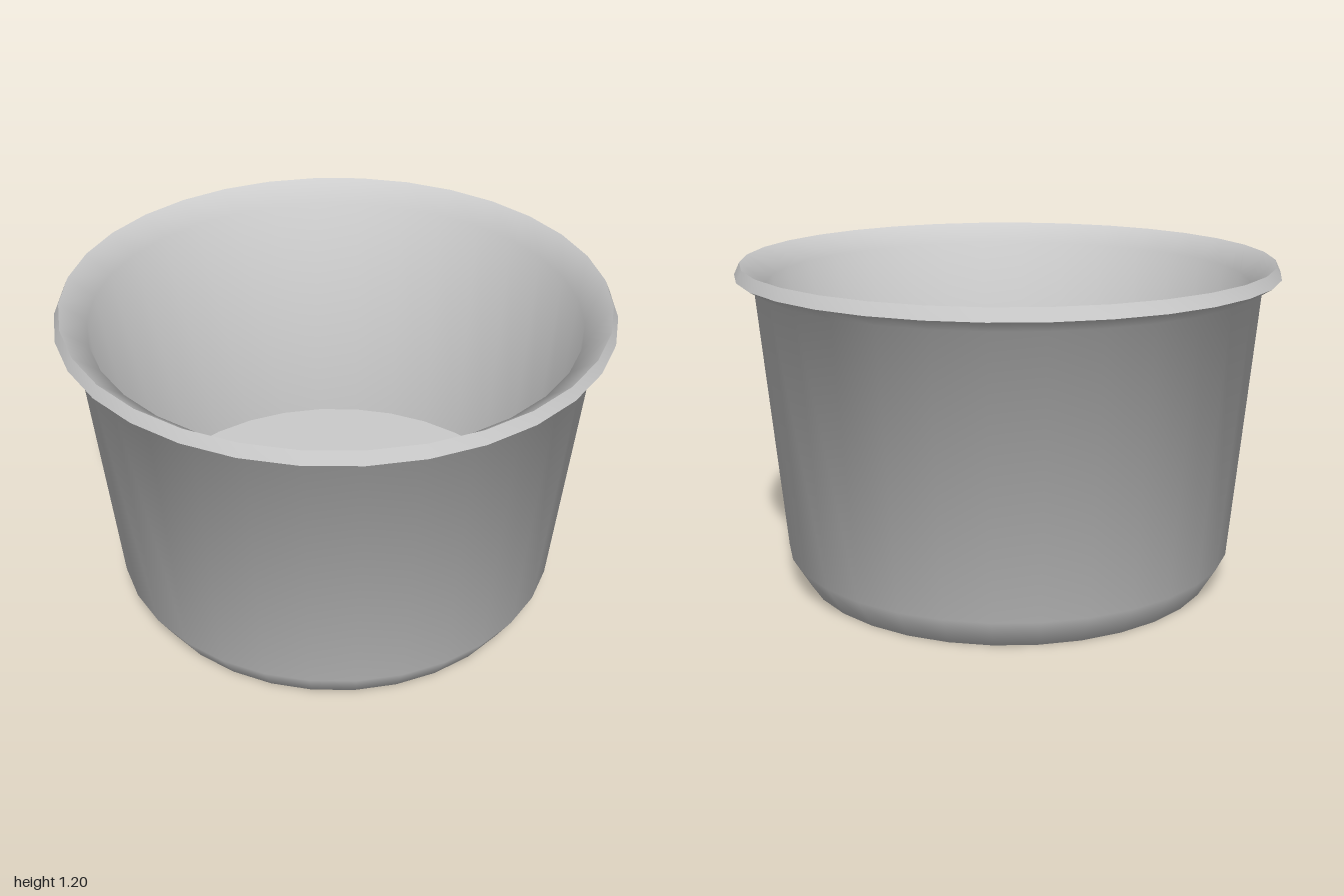
import * as THREE from 'three';
import { toCreasedNormals } from 'three/addons/utils/BufferGeometryUtils.js';

const SIDES = 32;
const CREASE = THREE.MathUtils.degToRad(70);

// Revolve a [radius, height] profile, keeping only the hard corners sharp
function revolve(name, profile, material) {
  const points = profile.map(([r, y]) => new THREE.Vector2(r, y));
  const geometry = toCreasedNormals(new THREE.LatheGeometry(points, SIDES), CREASE);
  const mesh = new THREE.Mesh(geometry, material);
  mesh.name = name;
  return mesh;
}

export function createModel() {
  const group = new THREE.Group();
  group.name = 'pot';
  const material = new THREE.MeshStandardMaterial({ color: 0xcccccc });

  // Closed shell: base, chamfer, outer wall, flared lip, inner wall
  group.add(revolve('potBody', [
    [0, 0],
    [0.78, 0],
    [0.845, 0.11],
    [0.933, 1.115],
    [1.0, 1.157],
    [0.98, 1.2],
    [0.888, 1.125],
    [0.82, 0.15],
  ], material));

  // Flat inner floor
  const floor = new THREE.Mesh(new THREE.CircleGeometry(0.82, SIDES), material);
  floor.rotation.x = -Math.PI / 2;
  floor.position.y = 0.15;
  floor.name = 'innerFloor';
  group.add(floor);

  return group;
}
